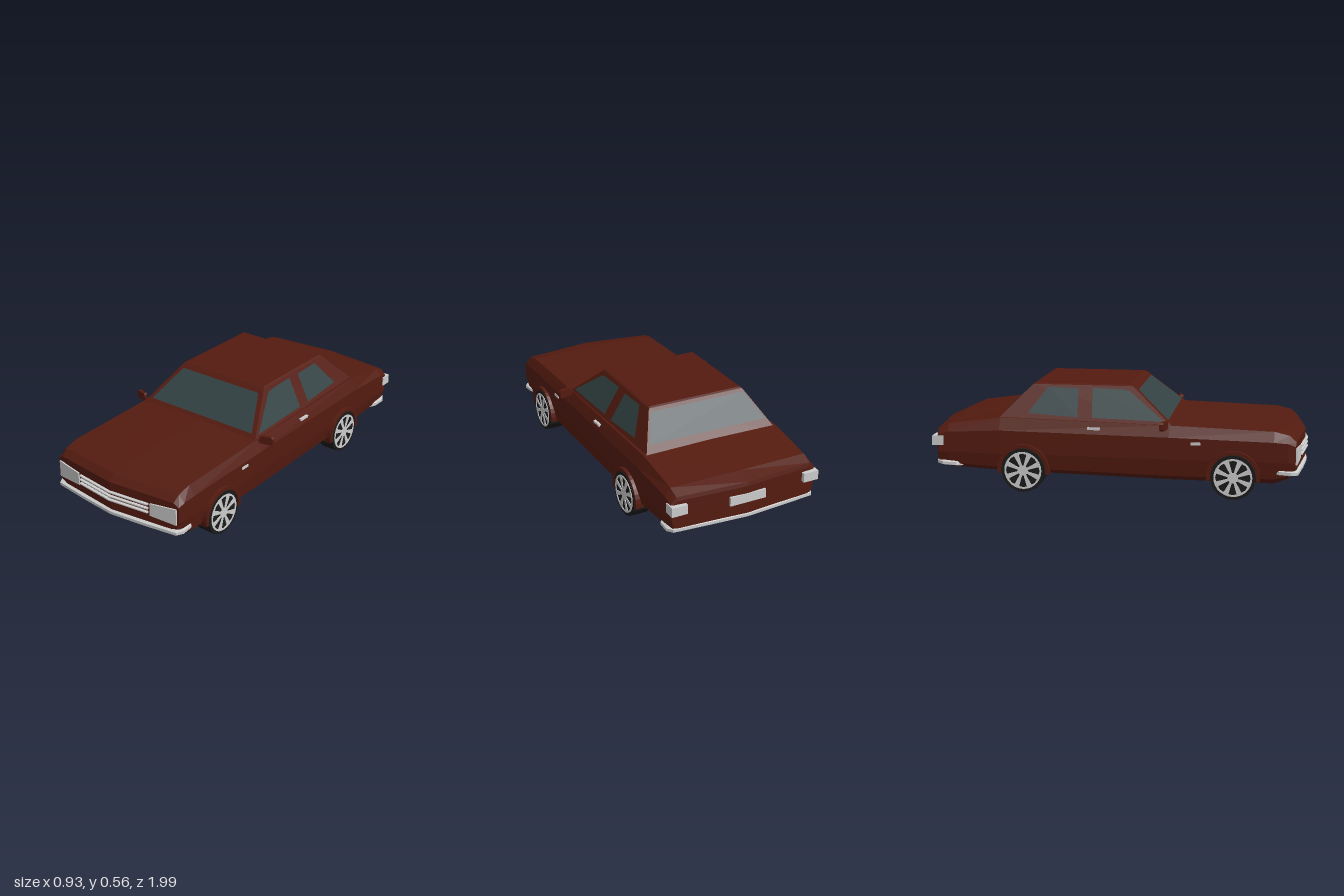
import * as THREE from 'three';

const mat = (color) => new THREE.MeshStandardMaterial({ color, flatShading: true });
const paint = mat(0x541b10);
const glass = mat(0x334244);
glass.side = THREE.DoubleSide;
const rubber = mat(0x1a1a1a);
const chrome = mat(0xcccccc);

function add(parent, name, geometry, material, x = 0, y = 0, z = 0) {
  const mesh = new THREE.Mesh(geometry, material);
  mesh.name = name;
  mesh.position.set(x, y, z);
  parent.add(mesh);
  return mesh;
}

// Closed skin through equal-length rings, each counter-clockwise when looking along the travel
function loft(rings) {
  const n = rings[0].length;
  const index = [];
  for (let r = 0; r < rings.length - 1; r++) {
    for (let i = 0; i < n; i++) {
      const j = (i + 1) % n;
      const a = r * n + i, b = r * n + j, c = b + n, d = a + n;
      index.push(a, d, c, a, c, b);
    }
  }
  const last = (rings.length - 1) * n;
  for (let i = 1; i < n - 1; i++) {
    index.push(0, i, i + 1, last, last + i + 1, last + i);
  }
  const g = new THREE.BufferGeometry();
  g.setAttribute('position', new THREE.Float32BufferAttribute(rings.flat(2), 3));
  g.setIndex(index);
  const flat = g.toNonIndexed();
  flat.computeVertexNormals();
  return flat;
}

// Bar swept along [x, y, z] points running from -x to +x, outer side facing +z
function bar(path, h, depth, squeeze = 1) {
  return loft(path.map(([x, y, z]) => [
    [x, y - h * 0.3, z], [x, y + h * 0.3, z],
    [x * (1 + squeeze) / 2, y + h / 2, z - depth * 0.3], [x * squeeze, y + h / 2, z - depth],
    [x * squeeze, y - h / 2, z - depth], [x * (1 + squeeze) / 2, y - h / 2, z - depth * 0.3],
  ]));
}

// Flat pane from a convex outline of 3D points
function pane(points) {
  const g = new THREE.BufferGeometry();
  const tris = [];
  for (let i = 1; i < points.length - 1; i++) tris.push(points[0], points[i], points[i + 1]);
  g.setAttribute('position', new THREE.Float32BufferAttribute(tris.flat(), 3));
  g.computeVertexNormals();
  return g;
}

// Body section: the end points bow along z towards the centre line
function section([z, bow, top, shoulder, mid, sill, bottom, w]) {
  const half = [
    [w - 0.03, top], [w, shoulder], [w, mid], [w - 0.013, sill], [w - 0.05, bottom],
  ];
  const ring = [
    [0, top + 0.003], ...half.map(([x, y]) => [-x, y]),
    [0, bottom], ...half.reverse(),
  ];
  return ring.map(([x, y]) => [x, y, z + bow * (1 - Math.abs(x) / 0.41)]);
}
const noseZ = (x) => 0.93 + 0.05 * (1 - Math.abs(x) / 0.41);

function createWheel() {
  const wheel = new THREE.Group();
  wheel.name = 'wheel';
  const tyre = add(wheel, 'tyre', new THREE.CylinderGeometry(0.118, 0.118, 0.094, 14), rubber);
  tyre.rotation.z = Math.PI / 2;
  // Rim disc with eight wedge openings
  const disc = new THREE.Shape().absarc(0, 0, 0.1, 0, Math.PI * 2);
  for (let i = 0; i < 8; i++) {
    const a = (i / 8) * Math.PI * 2;
    const at = (r, t) => new THREE.Vector2(r * Math.cos(a + t), r * Math.sin(a + t));
    disc.holes.push(new THREE.Path([at(0.028, -0.16), at(0.088, -0.24), at(0.091, 0), at(0.088, 0.24), at(0.028, 0.16)]));
  }
  const rim = add(wheel, 'rim',
    new THREE.ExtrudeGeometry(disc, { depth: 0.006, bevelEnabled: false, curveSegments: 14 }), chrome, 0.044);
  rim.rotation.y = Math.PI / 2;
  return wheel;
}

export function createModel() {
  const car = new THREE.Group();
  car.name = 'car';

  // Lower body, nose to tail
  add(car, 'body', loft([
    [0.93, 0.05, 0.305, 0.285, 0.2, 0.17, 0.155, 0.405],
    [0.895, 0.05, 0.338, 0.3, 0.2, 0.13, 0.11, 0.41],
    [0.82, 0.02, 0.357, 0.305, 0.2, 0.11, 0.08, 0.411],
    [0.28, 0, 0.373, 0.315, 0.2, 0.11, 0.083, 0.412],
    [-0.62, 0, 0.39, 0.325, 0.2, 0.125, 0.1, 0.412],
    [-0.9, -0.01, 0.35, 0.31, 0.2, 0.14, 0.115, 0.41],
    [-0.955, -0.035, 0.325, 0.295, 0.2, 0.155, 0.135, 0.407],
    [-0.96, -0.035, 0.305, 0.28, 0.2, 0.165, 0.15, 0.402],
  ].map(section)), paint);

  // Cabin and roof
  const level = (w, y, front, back) => [[w, y, back], [w, y, front], [-w, y, front], [-w, y, back]];
  add(car, 'cabin', loft([
    level(0.381, 0.365, 0.297, -0.65),
    level(0.272, 0.556, 0.075, -0.463),
    level(0.262, 0.562, 0.06, -0.452),
  ]), paint);

  // Windows
  add(car, 'windscreen', pane([
    [-0.342, 0.393, 0.270], [0.342, 0.393, 0.270], [0.257, 0.537, 0.102], [-0.257, 0.537, 0.102],
  ]), glass);
  add(car, 'rearWindow', pane([
    [0.335, 0.425, -0.595], [-0.335, 0.425, -0.595], [-0.27, 0.543, -0.479], [0.27, 0.543, -0.479],
  ]), glass);
  const sideWindows = {
    frontSideWindow: [[0.25, 0.388], [0.06, 0.53], [0.03, 0.537], [-0.14, 0.542], [-0.13, 0.397]],
    rearSideWindow: [[-0.207, 0.397], [-0.215, 0.538], [-0.38, 0.542], [-0.475, 0.412]],
  };

  // Arch lip outline shared by all wheels
  const lip = new THREE.Shape();
  lip.absarc(0, 0, 0.139, -0.15, Math.PI + 0.15, false);
  lip.absarc(0, 0, 0.12, Math.PI + 0.15, -0.15, true);
  const lipGeometry = new THREE.ExtrudeGeometry(lip, { depth: 0.05, bevelEnabled: false, curveSegments: 9 });

  for (const s of [1, -1]) {
    const side = s > 0 ? 'left' : 'right';
    const facing = (ring) => (s > 0 ? ring : [...ring].reverse());

    for (const [name, outline] of Object.entries(sideWindows)) {
      add(car, `${side} ${name}`, pane(outline.map(([z, y]) =>
        [s * (0.381 - (y - 0.365) * 0.571 + 0.004), y + 0.002, z])), glass);
    }

    // Wheels and arches
    for (const z of [0.615, -0.49]) {
      const wheel = createWheel();
      wheel.position.set(s * 0.382, 0.118, z);
      if (s < 0) wheel.rotation.y = Math.PI;
      car.add(wheel);
      add(car, 'wheelArch', lipGeometry, paint, s * 0.38, 0.118, z).rotation.y = s * Math.PI / 2;
    }

    // Headlight lying on the raked nose
    const lamp = [[0.24, 0.195], [0.393, 0.187], [0.393, 0.276], [0.24, 0.263]];
    add(car, `${side} headlight`, loft([0.008, -0.02].map((off) =>
      facing(lamp.map(([x, y]) => [s * x, y, noseZ(x) + off])))), chrome);

    add(car, `${side} tailLight`, new THREE.BoxGeometry(0.085, 0.05, 0.062), chrome, s * 0.372, 0.262, -0.956);
    add(car, `${side} doorHandle`, new THREE.BoxGeometry(0.02, 0.012, 0.065), chrome, s * 0.4, 0.348, -0.115);
    add(car, `${side} sideMarker`, new THREE.BoxGeometry(0.012, 0.014, 0.05), chrome, s * 0.41, 0.287, 0.42);

    // Door mirror with chamfered corners
    const housing = [
      [0.395, 0.365], [0.403, 0.356], [0.456, 0.356], [0.465, 0.365],
      [0.465, 0.391], [0.456, 0.4], [0.403, 0.4], [0.395, 0.391],
    ];
    add(car, `${side} mirror`, loft([0.01, -0.01].map((off) =>
      facing(housing.map(([x, y]) => [s * x, y, 0.265 - (x - 0.395) * 0.25 + off])))), paint);
    add(car, `${side} mirrorStem`, new THREE.BoxGeometry(0.045, 0.015, 0.015), paint, s * 0.385, 0.365, 0.262);
  }

  // Grille bars following the pointed nose
  for (const y of [0.21, 0.232, 0.255]) {
    add(car, 'grilleBar', bar([-0.228, 0, 0.228].map((x) => [x, y, noseZ(x) + 0.014]), 0.01, 0.025), chrome);
  }

  // Wrap-around bumpers
  const wrap = (points) => [
    ...points.map(([x, y, z]) => [-x, y, z]), ...points.slice(0, -1).reverse(),
  ];
  add(car, 'frontBumper', bar(wrap([
    [0.412, 0.147, 0.85], [0.416, 0.144, 0.91], [0.395, 0.142, 0.946], [0.19, 0.139, 0.972], [0, 0.137, 0.99],
  ]), 0.025, 0.035, 0.94), chrome);
  add(car, 'rearBumper', bar(wrap([
    [0.41, 0.137, 0.86], [0.415, 0.141, 0.93], [0.395, 0.145, 0.965], [0.19, 0.147, 0.985], [0, 0.148, 1],
  ]), 0.025, 0.035, 0.94), chrome).rotation.y = Math.PI;

  add(car, 'rearPlate', new THREE.BoxGeometry(0.2, 0.048, 0.02), chrome, 0, 0.245, -0.989);
  return car;
}
